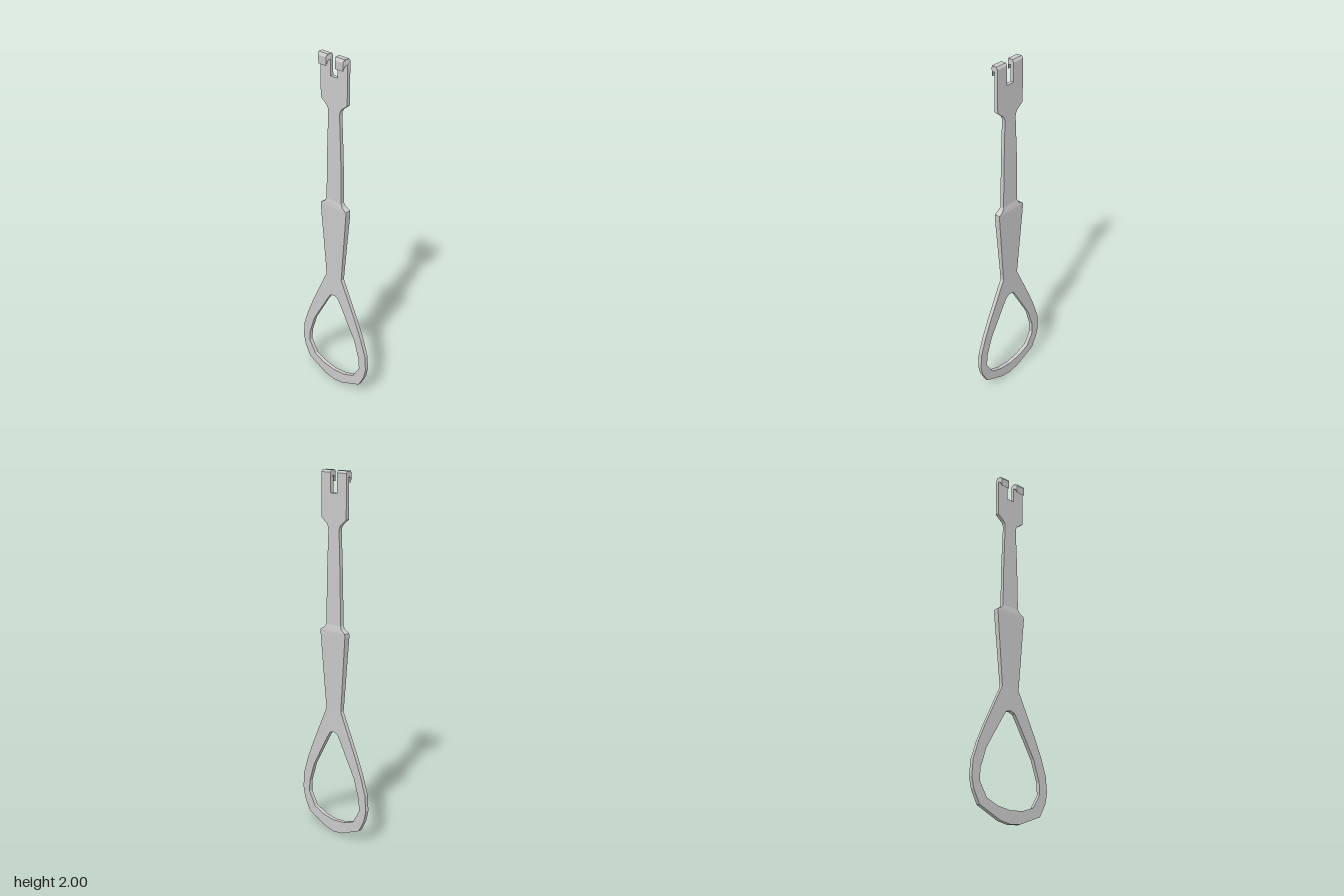
import * as THREE from 'three';

const material = new THREE.MeshStandardMaterial({ color: 0xcccccc, flatShading: true });

function addMesh(group, name, geometry) {
  const mesh = new THREE.Mesh(geometry, material);
  mesh.name = name;
  group.add(mesh);
}

// Full outline from its +z half, listed bottom to top as [z, y]
function mirrored(half) {
  const other = half.filter(([z]) => z > 0).reverse().map(([z, y]) => [-z, y]);
  return [...half, ...other].map(([z, y]) => new THREE.Vector2(z, y));
}

// Flat loop handle with a teardrop opening
function handleGeometry() {
  const shape = new THREE.Shape(mirrored([
    [0, 0], [0.065, 0.01], [0.195, 0.068], [0.232, 0.14], [0.245, 0.2],
    [0.238, 0.29], [0.205, 0.39], [0.165, 0.485], [0.055, 0.72],
  ]));
  shape.holes.push(new THREE.Path(mirrored([
    [0, 0.07], [0.08, 0.08], [0.15, 0.108], [0.195, 0.185], [0.192, 0.25],
    [0.155, 0.365], [0.05, 0.55], [0.028, 0.585], [0, 0.595],
  ])));
  return new THREE.ExtrudeGeometry(shape, { depth: 0.022, bevelEnabled: false })
    .rotateY(-Math.PI / 2).translate(0.02, 0, 0);
}

// Rectangular sections [y, half width in z, x min, x max], joined bottom to top
function loftGeometry(rows) {
  const positions = [], index = [];
  for (const [y, w, x0, x1] of rows) {
    positions.push(x0, y, w, x1, y, w, x1, y, -w, x0, y, -w);
  }
  for (let r = 0; r < rows.length - 1; r++) {
    for (let i = 0; i < 4; i++) {
      const a = r * 4 + i, b = r * 4 + (i + 1) % 4;
      index.push(a, b, b + 4, a, b + 4, a + 4);
    }
  }
  const t = (rows.length - 1) * 4;
  index.push(0, 2, 1, 0, 3, 2, t, t + 1, t + 2, t, t + 2, t + 3);
  const indexed = new THREE.BufferGeometry();
  indexed.setAttribute('position', new THREE.Float32BufferAttribute(positions, 3));
  indexed.setIndex(index);
  const geometry = indexed.toNonIndexed();
  geometry.computeVertexNormals();
  return geometry;
}

// Prong with a hooked tip that narrows towards -x
function prongGeometry(side) {
  const shape = new THREE.Shape([
    [0.018, 1.885], [0.018, 1.988], [0.01, 2], [-0.018, 2], [-0.027, 1.985],
    [-0.024, 1.94], [-0.017, 1.965], [-0.002, 1.972], [-0.002, 1.885],
  ].map(([x, y]) => new THREE.Vector2(x, y)));
  const geometry = new THREE.ExtrudeGeometry(shape, { depth: 0.067, bevelEnabled: false })
    .translate(0, 0, -0.0335);
  const p = geometry.attributes.position;
  for (let i = 0; i < p.count; i++) {
    const x = p.getX(i);
    const taper = x < -0.02 ? 0.78 : x < -0.01 ? 0.92 : 1;
    p.setZ(i, p.getZ(i) * taper + side * 0.0565);
  }
  geometry.computeVertexNormals();
  return geometry;
}

export function createModel() {
  const group = new THREE.Group();
  group.name = 'forkedTool';

  addMesh(group, 'loopHandle', handleGeometry());

  // Thickened grip that ends in a shoulder
  addMesh(group, 'grip', loftGeometry([
    [0.72, 0.055, -0.002, 0.02],
    [1.14, 0.091, -0.007, 0.027],
    [1.16, 0.09, -0.007, 0.027],
    [1.178, 0.062, -0.005, 0.024],
    [1.195, 0.053, -0.002, 0.02],
  ]));

  // Slim shaft
  addMesh(group, 'shaft', loftGeometry([
    [1.195, 0.053, -0.002, 0.02],
    [1.46, 0.048, -0.002, 0.02],
    [1.69, 0.039, -0.002, 0.018],
  ]));

  // Flared head below the slot
  addMesh(group, 'head', loftGeometry([
    [1.69, 0.039, -0.002, 0.018],
    [1.71, 0.041, -0.002, 0.018],
    [1.725, 0.05, -0.002, 0.018],
    [1.757, 0.09, -0.002, 0.018],
    [1.885, 0.09, -0.002, 0.018],
  ]));

  // Hooked prongs either side of the slot
  for (const side of [1, -1]) {
    addMesh(group, side > 0 ? 'frontProng' : 'backProng', prongGeometry(side));
  }
  return group;
}
